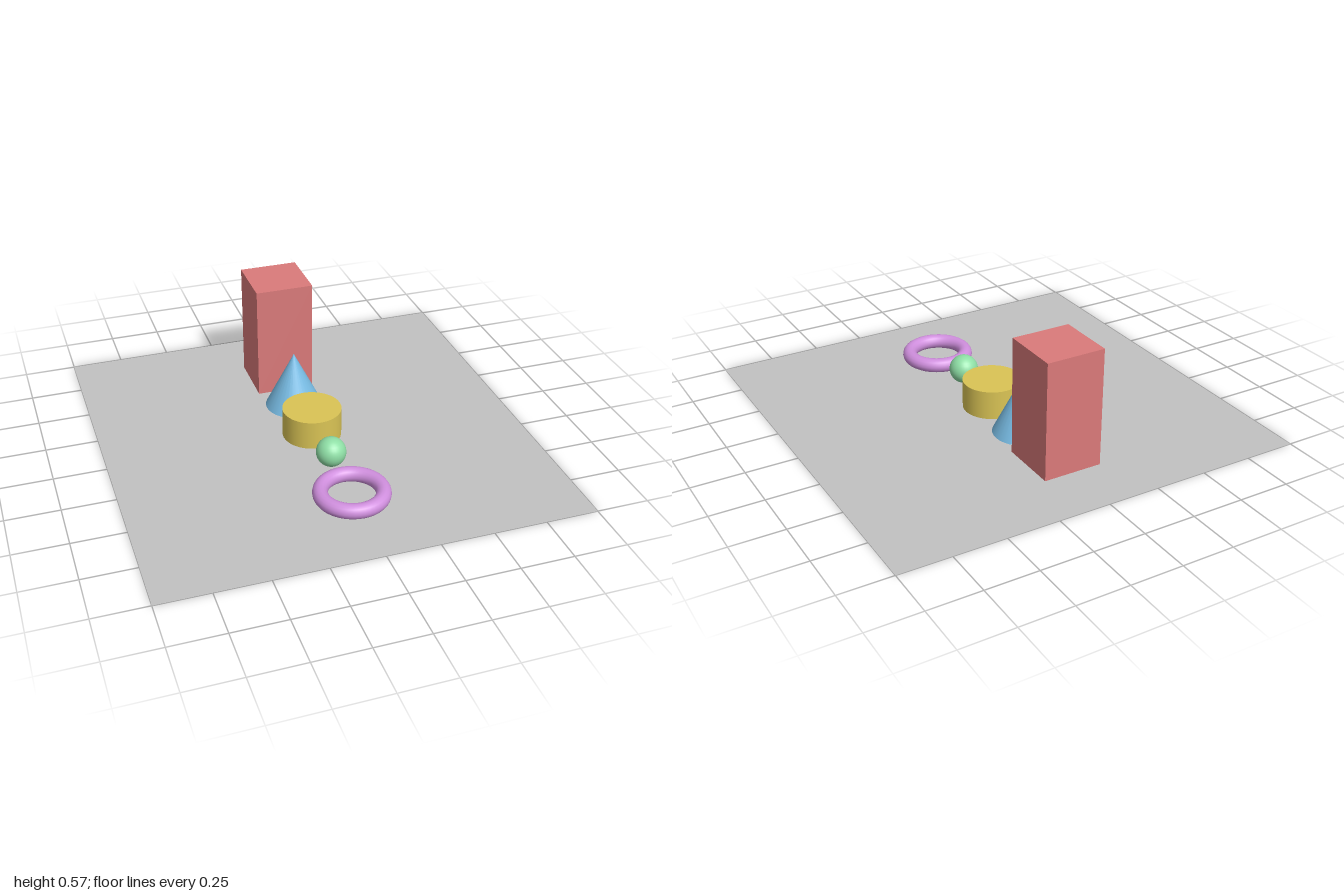
import * as THREE from 'three';

const U = 1 / 7; // one layout unit

const paint = (name, color, extra = {}) => {
  const m = new THREE.MeshStandardMaterial({ color, ...extra });
  m.name = name;
  return m;
};

export function createModel() {
  const model = new THREE.Group();
  model.name = 'shapeRow';

  const add = (name, geometry, material, y, z) => {
    const mesh = new THREE.Mesh(geometry, material);
    mesh.name = name;
    mesh.position.set(0, y, z);
    model.add(mesh);
  };

  // Thin square floor, visible from both sides
  add('floor', new THREE.PlaneGeometry(2, 2).rotateX(-Math.PI / 2),
    paint('grey', 0xc2c2c2, { side: THREE.DoubleSide }), 0, 0);

  // Row of solids from back to front, a hair above the floor
  const lift = 0.0005;
  add('tallBlock', new THREE.BoxGeometry(2 * U, 4 * U, 2 * U),
    paint('red', 0xda7a7a), 2 * U + lift, -4 * U);
  add('cone', new THREE.ConeGeometry(U, 2 * U, 32),
    paint('blue', 0x78bce4), U + lift, -2 * U);
  add('cylinder', new THREE.CylinderGeometry(U, U, U, 32),
    paint('yellow', 0xdac455), U / 2 + lift, 0);
  add('ball', new THREE.SphereGeometry(U / 2, 32, 16),
    paint('green', 0x8fdfa6), U / 2, 2 * U);
  add('ring', new THREE.TorusGeometry(U, U / 4, 16, 48).rotateX(-Math.PI / 2),
    paint('purple', 0xd08fde), U / 4, 4 * U);

  return model;
}
